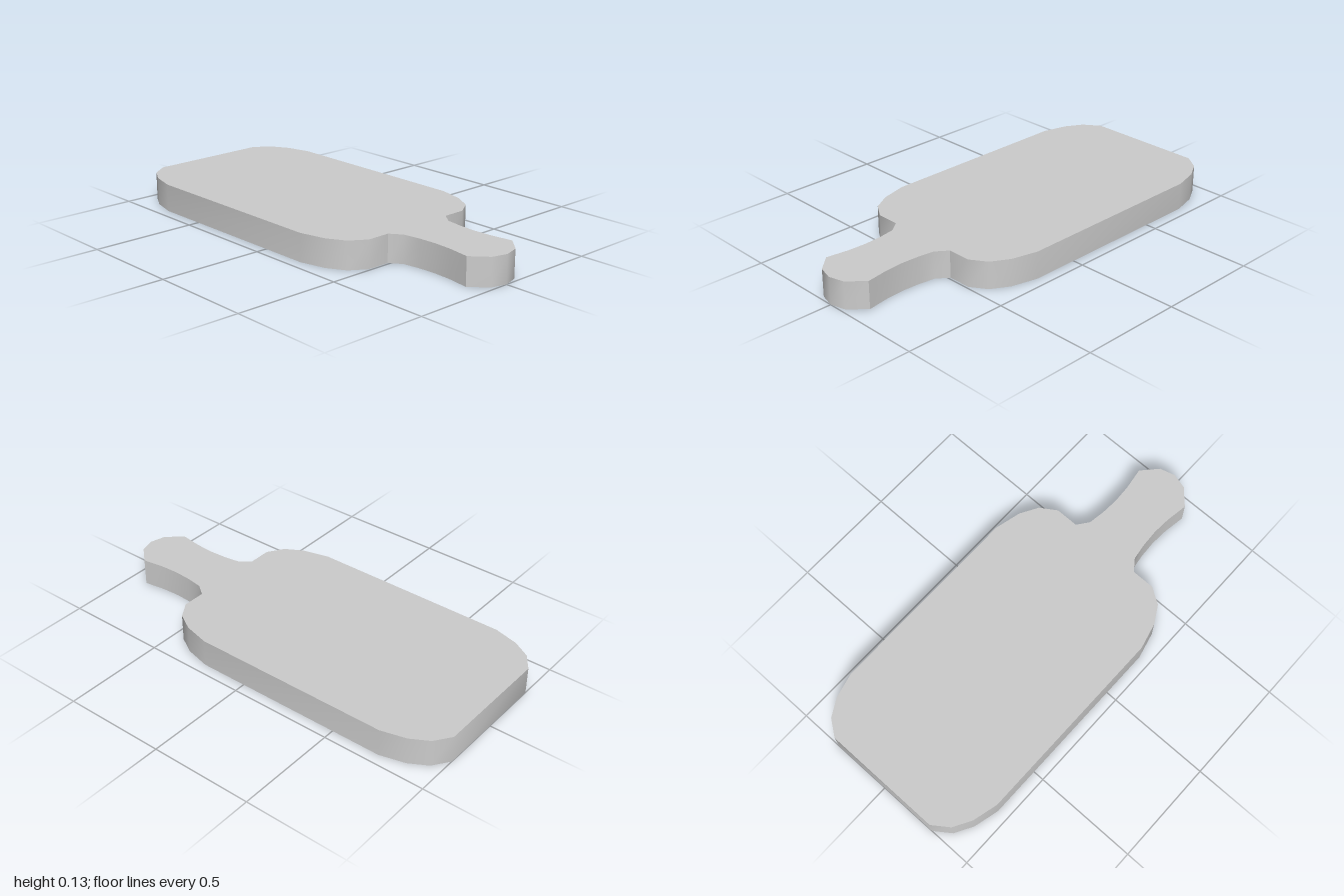
import * as THREE from 'three';
import { toCreasedNormals } from 'three/addons/utils/BufferGeometryUtils.js';

const HEIGHT = 0.133;

// Half outline (x, z) along the front, from the blunt end to the handle tip.
const HALF = [
  [-1, 0.29], [-0.945, 0.367], [-0.86, 0.416], [-0.74, 0.447],
  [0.23, 0.447], [0.355, 0.416], [0.44, 0.367], [0.49, 0.29],
  [0.49, 0.179], [0.545, 0.138], [0.625, 0.126], [0.71, 0.121],
  [0.8, 0.126], [0.905, 0.142], [0.98, 0.073], [1, 0],
];

// Mirror the half outline to close the loop.
function fullOutline() {
  const back = HALF.slice(0, -1).reverse().map(([x, z]) => [x, -z]);
  return [...HALF, ...back];
}

// Upright band following the outline, open at the bottom.
function wallGeometry(outline) {
  const pos = [];
  outline.forEach(([ax, az], i) => {
    const [bx, bz] = outline[(i + 1) % outline.length];
    pos.push(ax, 0, az, bx, 0, bz, bx, HEIGHT, bz);
    pos.push(ax, 0, az, bx, HEIGHT, bz, ax, HEIGHT, az);
  });
  const geo = new THREE.BufferGeometry();
  geo.setAttribute('position', new THREE.Float32BufferAttribute(pos, 3));
  return toCreasedNormals(geo, THREE.MathUtils.degToRad(45));
}

export function createModel() {
  const group = new THREE.Group();
  group.name = 'cuttingBoard';
  const grey = new THREE.MeshStandardMaterial({ color: 0xcccccc, side: THREE.DoubleSide });
  grey.name = 'light grey';

  const outline = fullOutline();

  // Flat top with the handle
  const shape = new THREE.Shape(outline.map(([x, z]) => new THREE.Vector2(x, -z)));
  const topGeo = new THREE.ShapeGeometry(shape);
  topGeo.rotateX(-Math.PI / 2).translate(0, HEIGHT, 0);
  const top = new THREE.Mesh(topGeo, grey);
  top.name = 'boardTop';

  // Side wall
  const wall = new THREE.Mesh(wallGeometry(outline), grey);
  wall.name = 'sideWall';

  group.add(top, wall);
  return group;
}
